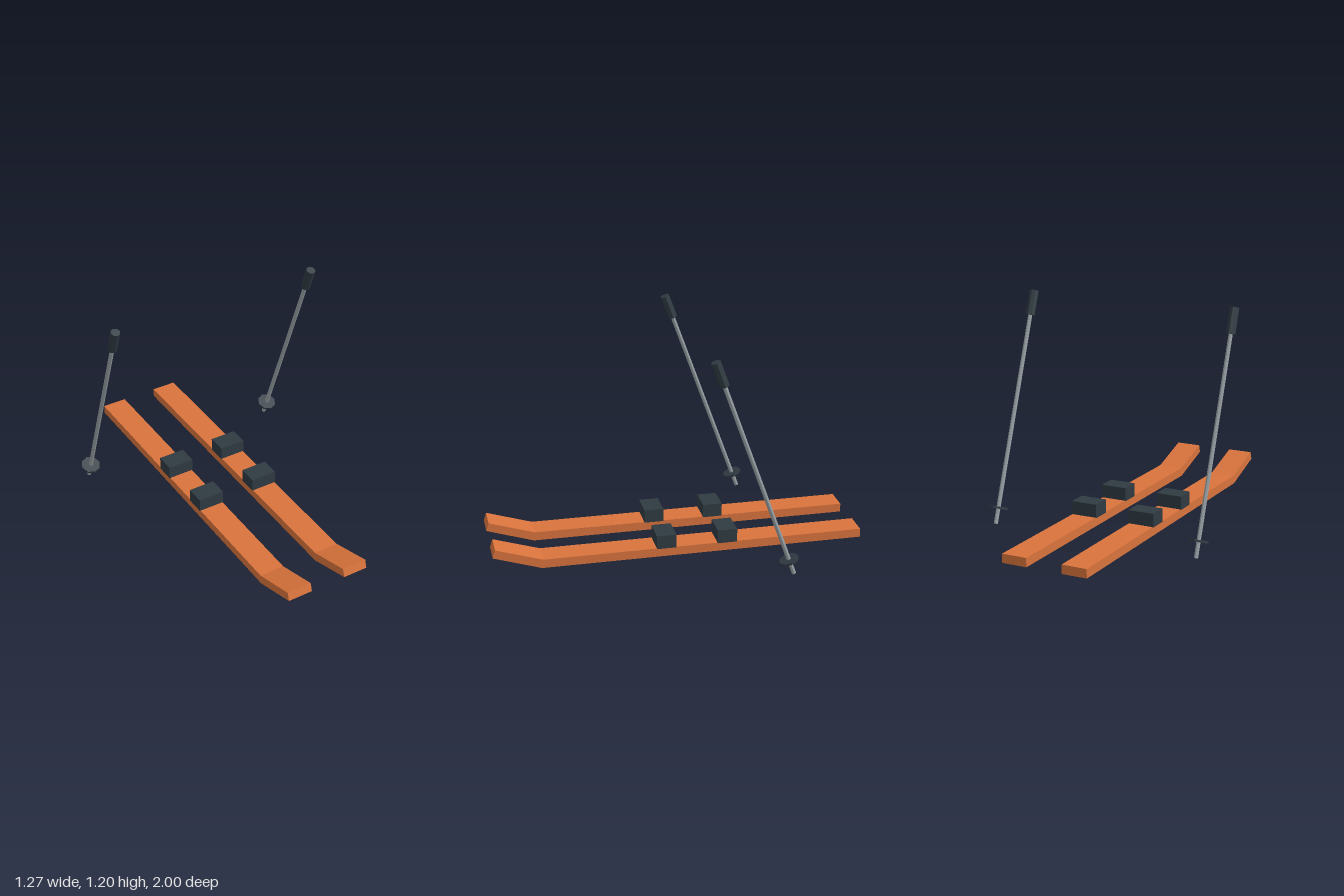
import * as THREE from 'three';

const material = (color) => new THREE.MeshStandardMaterial({ color, flatShading: true });

function addPart(parent, name, geometry, mat, x = 0, y = 0, z = 0) {
  const mesh = new THREE.Mesh(geometry, mat);
  mesh.name = name;
  mesh.position.set(x, y, z);
  parent.add(mesh);
  return mesh;
}

// Side profile of a ski (z along, y up), extruded across its width
function skiGeometry(width) {
  const shape = new THREE.Shape([
    [-1, 0], [0.745, 0], [1, 0.083], [0.986, 0.127], [0.738, 0.048], [-1, 0.048],
  ].map(([z, y]) => new THREE.Vector2(z, y)));
  const geometry = new THREE.ExtrudeGeometry(shape, { depth: width, bevelEnabled: false });
  geometry.translate(0, 0, -width / 2);
  geometry.rotateY(-Math.PI / 2);
  return geometry;
}

export function createModel() {
  const model = new THREE.Group();
  model.name = 'skisAndPoles';

  const orange = material(0xd9733c);
  const dark = material(0x2f3b42);
  const metal = material(0x959da1);

  const skiShape = skiGeometry(0.138);
  const bindingShape = new THREE.BoxGeometry(0.146, 0.074, 0.106);
  const shaftShape = new THREE.CylinderGeometry(0.0115, 0.0115, 1.14, 8);
  const gripShape = new THREE.CylinderGeometry(0.025, 0.025, 0.135, 8);
  const basketShape = new THREE.CylinderGeometry(0.053, 0.053, 0.011, 8);

  for (const [side, s] of [['left', 1], ['right', -1]]) {
    // Ski with toe and heel binding blocks
    const ski = new THREE.Group();
    ski.name = `${side}Ski`;
    ski.position.x = s * 0.168;
    addPart(ski, 'skiBoard', skiShape, orange);
    addPart(ski, 'toeBinding', bindingShape, dark, 0, 0.083, 0.08);
    addPart(ski, 'heelBinding', bindingShape, dark, 0, 0.083, -0.252);
    model.add(ski);

    // Pole leaning forward from its tip
    const pole = new THREE.Group();
    pole.name = `${side}Pole`;
    pole.position.set(s * 0.584, 0.005, -0.519);
    pole.rotation.x = THREE.MathUtils.degToRad(20);
    addPart(pole, 'poleShaft', shaftShape, metal, 0, 0.57, 0);
    addPart(pole, 'poleGrip', gripShape, dark, 0, 1.193, 0);
    addPart(pole, 'poleBasket', basketShape, dark, 0, 0.086, 0);
    model.add(pole);
  }
  return model;
}
